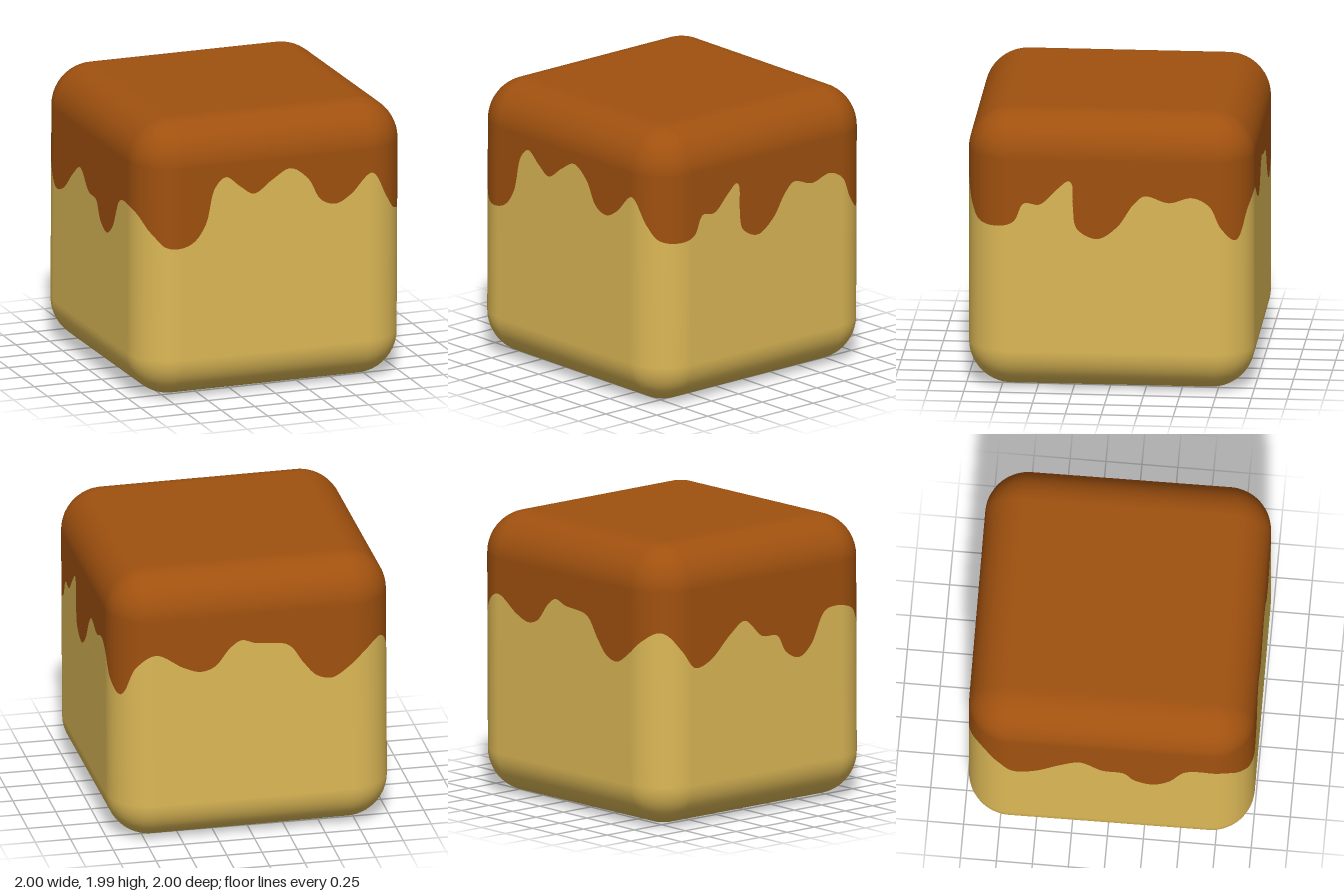
import * as THREE from 'three';

const HALF = 0.993, R = 0.3, CORE = HALF - R;
const SPAN = 2 * (CORE + R * Math.SQRT1_2); // one side, measured to the middle of each corner

// Key points of the glaze's lower edge: [distance along side, height], for front, right, back, left
const DRIPS = [
  [[-0.9, 1.22], [-0.82, 1.13], [-0.73, 1.115], [-0.62, 1.15], [-0.53, 1.27], [-0.46, 1.53], [-0.38, 1.6],
    [-0.27, 1.52], [-0.17, 1.46], [-0.03, 1.55], [0.1, 1.615], [0.23, 1.53], [0.33, 1.365], [0.44, 1.325],
    [0.55, 1.38], [0.71, 1.52], [0.83, 1.33]],
  [[-0.9, 1.225], [-0.75, 1.21], [-0.66, 1.245], [-0.59, 1.375], [-0.48, 1.37], [-0.36, 1.48], [-0.28, 1.543],
    [-0.255, 1.52], [-0.248, 1.35], [-0.22, 1.2], [-0.08, 1.13], [0.06, 1.22], [0.17, 1.38], [0.25, 1.445],
    [0.42, 1.4], [0.58, 1.44], [0.7, 1.38], [0.78, 1.22], [0.88, 1.127]],
  [[-0.83, 1.35], [-0.7, 1.44], [-0.5, 1.33], [-0.38, 1.29], [-0.28, 1.32], [-0.17, 1.45], [-0.09, 1.5],
    [0.01, 1.47], [0.24, 1.435], [0.35, 1.29], [0.44, 1.19], [0.55, 1.16], [0.68, 1.24], [0.8, 1.345]],
  [[-0.9, 1.405], [-0.77, 1.27], [-0.66, 1.138], [-0.52, 1.17], [-0.33, 1.33], [-0.2, 1.405], [-0.04, 1.275],
    [0.1, 1.255], [0.18, 1.13], [0.3, 1.075], [0.41, 1.147], [0.53, 1.36], [0.62, 1.39], [0.8, 1.35]],
];

// Smooth closed edge, as (position round the perimeter, height)
function dripEdge() {
  const pts = DRIPS.flatMap((side, i) => side.map(([t, h]) => new THREE.Vector3(i * SPAN + t, h, 0)));
  pts.push(new THREE.Vector3(pts[0].x + 4 * SPAN, pts[0].y, 0));
  return new THREE.CatmullRomCurve3(pts, false, 'centripetal').getPoints((pts.length - 1) * 10);
}

// Core point and outward direction on the rounded square at perimeter position u
function perimeter(u) {
  const side = Math.round(u / SPAN), t = u - side * SPAN, q = side * Math.PI / 2;
  const over = Math.max(0, Math.abs(t) - CORE) / R;
  const a = q + Math.sign(t) * Math.asin(over);
  const c = THREE.MathUtils.clamp(t, -CORE, CORE);
  return {
    cx: c * Math.cos(q) + CORE * Math.sin(q),
    cz: -c * Math.sin(q) + CORE * Math.cos(q),
    dx: Math.sin(a), dz: Math.cos(a),
  };
}

// Shell from the drip edge over the rounded rim to the flat cap; dir = 1 goes up, -1 goes down
function shell(edge, dir, material, name) {
  const pos = [], nor = [], idx = [], ROUND = 12, rows = ROUND + 3;
  for (const p of edge) {
    const { cx, cz, dx, dz } = perimeter(p.x);
    pos.push(cx + dx * R, p.y, cz + dz * R);
    nor.push(dx, 0, dz);
    for (let k = 0; k <= ROUND; k++) {
      const a = k / ROUND * Math.PI / 2, c = Math.cos(a), s = dir * Math.sin(a);
      pos.push(cx + dx * R * c, 1 + dir * CORE + R * s, cz + dz * R * c);
      nor.push(dx * c, s, dz * c);
    }
    pos.push(0, 1 + dir * HALF, 0); // cap centre
    nor.push(0, dir, 0);
  }
  for (let i = 0; i < edge.length - 1; i++) {
    for (let k = 0; k < rows - 1; k++) {
      const a = i * rows + k, b = a + rows;
      if (dir > 0) idx.push(a, b, b + 1, a, b + 1, a + 1);
      else idx.push(a, b + 1, b, a, a + 1, b + 1);
    }
  }
  const geo = new THREE.BufferGeometry();
  geo.setAttribute('position', new THREE.Float32BufferAttribute(pos, 3));
  geo.setAttribute('normal', new THREE.Float32BufferAttribute(nor, 3));
  geo.setIndex(idx);
  const mesh = new THREE.Mesh(geo, material);
  mesh.name = name;
  return mesh;
}

export function createModel() {
  const custard = new THREE.MeshStandardMaterial({ name: 'custard yellow', color: 0xdcb856 });
  const caramel = new THREE.MeshStandardMaterial({ name: 'caramel brown', color: 0xa0510f });
  const edge = dripEdge();
  const block = new THREE.Group();
  block.name = 'roundedBlock';
  block.add(shell(edge, -1, custard, 'custardBody'), shell(edge, 1, caramel, 'caramelGlaze'));
  block.rotation.set(0, 0.007, -0.005); // sits very slightly askew
  const model = new THREE.Group();
  model.name = 'glazedPudding';
  model.add(block);
  return model;
}
